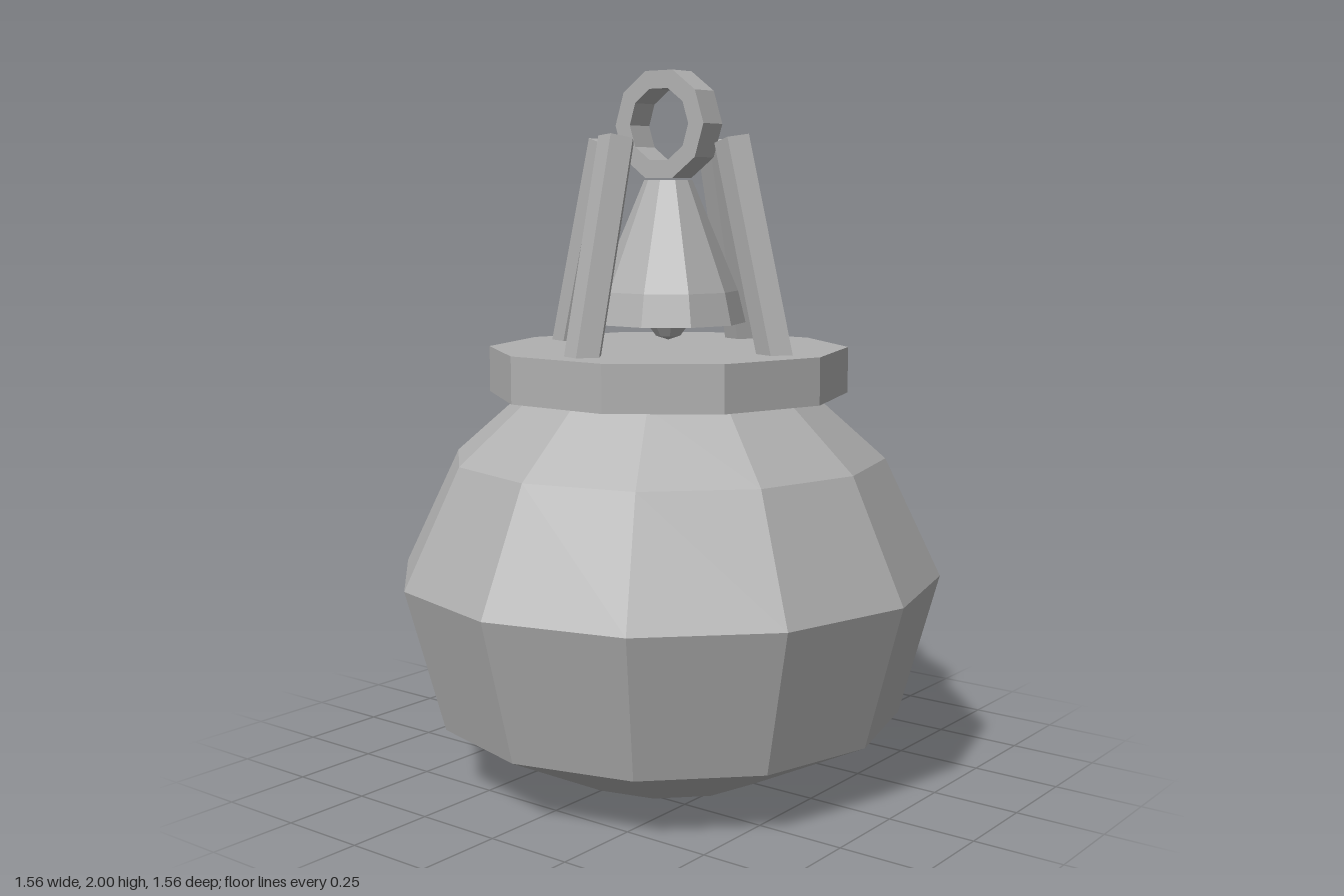
import * as THREE from 'three';

export function createModel() {
  const model = new THREE.Group();
  model.name = 'weightedBuoy';
  const grey = new THREE.MeshStandardMaterial({ color: 0xb0b0b0, flatShading: true });
  grey.name = 'stone grey';
  const greyOpen = new THREE.MeshStandardMaterial({ color: 0xb0b0b0, flatShading: true, side: THREE.DoubleSide });
  greyOpen.name = 'stone grey, open shell';

  const add = (name, geometry, material = grey) => {
    const mesh = new THREE.Mesh(geometry, material);
    mesh.name = name;
    model.add(mesh);
    return mesh;
  };
  // turned part with a corner on +x
  const turned = (profile, sides) =>
    new THREE.LatheGeometry(profile.map(([r, y]) => new THREE.Vector2(r, y)), sides).rotateY(Math.PI / 2);

  // faceted float
  add('float', turned([[0, 0], [0.31, 0], [0.67, 0.18], [0.78, 0.585], [0.62, 0.92], [0.41, 1.105]], 12));

  // ten-sided deck
  add('deck', new THREE.CylinderGeometry(0.512, 0.512, 0.13, 10).rotateY(Math.PI / 2).translate(0, 1.165, 0));

  // bell, open below, with its clapper
  add('bell', turned([[0.22, 1.3], [0.198, 1.39], [0.068, 1.7], [0, 1.7]], 10), greyOpen);
  add('clapper', new THREE.SphereGeometry(0.06, 8, 5).translate(0, 1.31, 0));

  // hanging ring: flat ten-sided band
  const decagon = (r, Type) => {
    const points = [];
    for (let i = 0; i < 10; i++) {
      const a = (i / 10) * Math.PI * 2;
      points.push(new THREE.Vector2(r * Math.cos(a), r * Math.sin(a)));
    }
    return new Type(points);
  };
  const band = decagon(0.155, THREE.Shape);
  band.holes.push(decagon(0.103, THREE.Path));
  add('ring', new THREE.ExtrudeGeometry(band, { depth: 0.088, bevelEnabled: false }).translate(0, 1.853, -0.044));

  // four five-sided posts leaning inwards, all with a corner towards +x
  const up = new THREE.Vector3(0, 1, 0);
  const names = ['leftPost', 'frontPost', 'rightPost', 'backPost'];
  names.forEach((name, i) => {
    const dx = [1, 0, -1, 0][i];
    const dz = [0, 1, 0, -1][i];
    const foot = new THREE.Vector3(dx * 0.385, 1.17, dz * 0.385);
    const head = new THREE.Vector3(dx * 0.224, 1.81, dz * 0.224);
    const post = add(name, new THREE.CylinderGeometry(0.053, 0.053, foot.distanceTo(head), 5).rotateY(Math.PI / 2));
    post.position.addVectors(foot, head).multiplyScalar(0.5);
    post.quaternion.setFromUnitVectors(up, head.clone().sub(foot).normalize());
  });

  return model;
}
